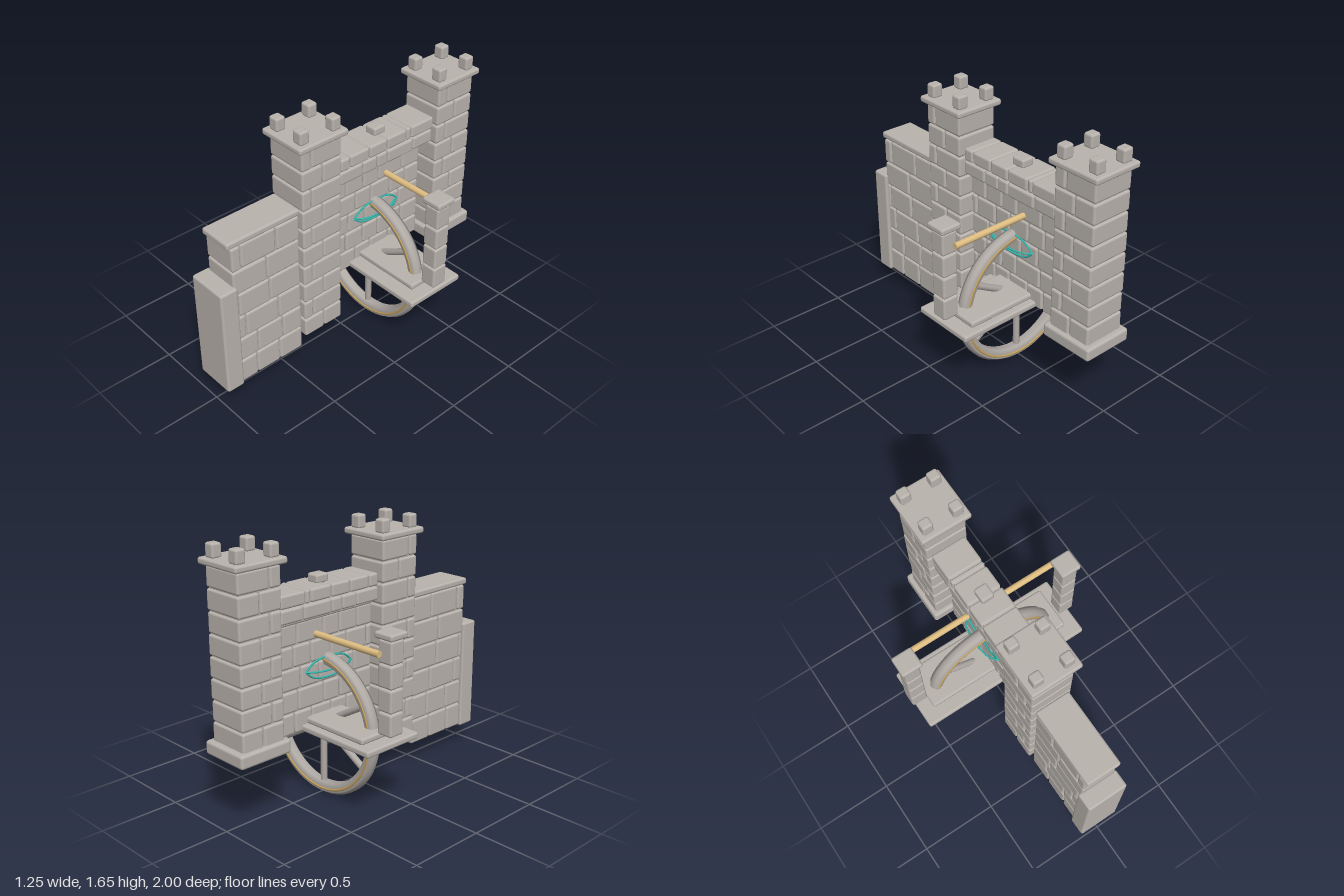
import * as THREE from 'three';
import { RoundedBoxGeometry } from 'three/addons/geometries/RoundedBoxGeometry.js';

const mat = (name, color) => {
  const m = new THREE.MeshStandardMaterial({ color });
  m.name = name;
  return m;
};

export function createModel() {
  const stone = mat('stone', 0xb9b3ad);
  const wheelGrey = mat('wheelGrey', 0xb0aaa5);
  const wood = mat('paleWood', 0xdfbe82);
  const brass = mat('brass', 0xc9a45c);
  const teal = mat('teal', 0x36b8ae);
  const model = new THREE.Group();
  model.name = 'wallWithWheel';

  let seed = 7;
  const rnd = () => (seed = (seed * 16807) % 2147483647) / 2147483647;

  const add = (parent, name, geo, material, x = 0, y = 0, z = 0) => {
    const m = new THREE.Mesh(geo, material);
    m.name = name;
    m.position.set(x, y, z);
    parent.add(m);
    return m;
  };
  const group = (name) => {
    const g = new THREE.Group();
    g.name = name;
    model.add(g);
    return g;
  };
  // Rounded stone block given by its limits
  const block = (parent, name, x0, x1, y0, y1, z0, z1, r = 0.014) => {
    const [w, h, d] = [x1 - x0, y1 - y0, z1 - z0];
    const radius = Math.min(r, Math.min(w, h, d) * 0.4);
    return add(parent, name, new RoundedBoxGeometry(w, h, d, 2, radius), stone,
      (x0 + x1) / 2, (y0 + y1) / 2, (z0 + z1) / 2);
  };

  // Courses of through-blocks on a recessed core; cuts run from the front end to the back end
  const masonry = (name, halfX, y0, y1, zFront, zBack, rows, patterns) => {
    const g = group(name);
    const h = (y1 - y0) / rows, len = zFront - zBack, gap = 0.003;
    add(g, 'mortarCore', new THREE.BoxGeometry(halfX * 2 - 0.03, y1 - y0 - 0.02, len - 0.03), stone,
      0, (y0 + y1) / 2, (zFront + zBack) / 2);
    for (let i = 0; i < rows; i++) {
      const cuts = [0, ...patterns[i % patterns.length], 1];
      const top = y1 - i * h;
      for (let k = 0; k + 1 < cuts.length; k++) {
        const hx = halfX - rnd() * 0.005;
        block(g, 'brick', -hx, hx, top - h + gap, top - gap,
          zFront - cuts[k + 1] * len + gap, zFront - cuts[k] * len - gap);
      }
    }
    return g;
  };

  // Front slab and stepped front wall
  block(model, 'frontSlab', -0.135, 0.135, 0.13, 0.855, 0.88, 1.0, 0.015);
  masonry('frontWall', 0.117, 0.13, 1.115, 0.9, 0.415, 6,
    [[0.14, 0.65], [0.5], [0.07, 0.53], [0.16, 0.65], [0.32, 0.7], [0.29, 0.64]]);
  block(model, 'frontWallCap', -0.115, 0.113, 1.112, 1.155, 0.41, 0.92);

  // Thin middle wall under wider upper courses
  masonry('middleWall', 0.045, 0.465, 1.14, 0.12, -0.625, 5,
    [[0.17, 0.36, 0.53, 0.8], [0.06, 0.28, 0.45, 0.66, 0.84], [0.2, 0.38, 0.58, 0.77]]);
  block(model, 'stringCourse', -0.048, 0.048, 1.13, 1.175, -0.625, 0.12);
  masonry('upperWall', 0.117, 1.165, 1.255, 0.105, -0.655, 1, [[0.24, 0.39, 0.5, 0.78]]);
  masonry('topCourse', 0.117, 1.255, 1.34, 0.1, -0.66, 1, [[0.1, 0.3, 0.49, 0.7, 0.75]]);
  block(model, 'wallMerlon', -0.042, 0.042, 1.33, 1.385, -0.325, -0.232);

  // Towers with cap slab and four merlons
  const tower = (name, y0, rows, zFront, zBack, patterns) => {
    const g = masonry(name, 0.14, y0, 1.53, zFront, zBack, rows, patterns);
    const zc = (zFront + zBack) / 2;
    block(g, 'towerCap', -0.165, 0.165, 1.53, 1.57, zc - 0.178, zc + 0.178);
    for (const sx of [-1, 1]) for (const sz of [-1, 1]) {
      const x = sx * 0.1, z = zc + sz * 0.115;
      block(g, 'merlon', x - 0.035, x + 0.035, 1.565, 1.65, z - 0.033, z + 0.033);
    }
    return g;
  };
  tower('frontTower', 0.215, 10, 0.41, 0.113, [[0.24], [0.52]]);
  const backTower = tower('backTower', 0.5, 8, -0.665, -0.967, [[0.27], [0.5]]);
  block(backTower, 'towerBase', -0.165, 0.165, 0.43, 0.515, -1.0, -0.642, 0.018);

  // Platform with side posts
  block(model, 'platform', -0.585, 0.585, 0.465, 0.507, -0.455, -0.04);
  block(model, 'platformStep', -0.5, 0.5, 0.505, 0.545, -0.415, -0.125);
  for (const s of [-1, 1]) {
    const g = group(s > 0 ? 'leftPost' : 'rightPost');
    const x = s * 0.555;
    for (let i = 0; i < 4; i++) {
      const y = 0.547 + i * 0.142;
      block(g, 'postBlock', x - 0.052, x + 0.052, y, y + 0.138, -0.3, -0.195);
    }
    block(g, 'postCap', x - 0.068, x + 0.068, 1.116, 1.157, -0.318, -0.183);
  }

  // Wooden rod across the wall
  add(model, 'rod', new THREE.CylinderGeometry(0.02, 0.02, 1.1, 10), wood, 0, 1.04, -0.335)
    .rotation.z = Math.PI / 2;

  // Wheel: ridged rim, inlaid rings, six spokes, hub
  const wheel = group('wheel');
  wheel.position.set(0, 0.455, -0.245);
  const rimProfile = [[0.382, -0.022], [0.395, -0.037], [0.437, -0.04], [0.444, -0.024], [0.455, -0.014],
    [0.455, 0.014], [0.444, 0.024], [0.437, 0.04], [0.395, 0.037], [0.382, 0.022], [0.382, -0.022]];
  add(wheel, 'rim', new THREE.LatheGeometry(rimProfile.map((p) => new THREE.Vector2(...p)), 72), wheelGrey)
    .rotation.x = Math.PI / 2;
  for (const s of [-1, 1])
    add(wheel, 'rimInlay', new THREE.TorusGeometry(0.42, 0.008, 6, 72), brass, 0, 0, s * 0.037);
  for (let i = 0; i < 6; i++) {
    const a = Math.PI / 6 + (i * Math.PI) / 3;
    add(wheel, 'spoke', new THREE.CylinderGeometry(0.021, 0.021, 0.36, 10), wheelGrey,
      Math.cos(a) * 0.22, Math.sin(a) * 0.22).rotation.z = a - Math.PI / 2;
  }
  add(wheel, 'hub', new THREE.CylinderGeometry(0.07, 0.07, 0.11, 20), brass).rotation.x = Math.PI / 2;
  add(wheel, 'axle', new THREE.CylinderGeometry(0.028, 0.028, 0.15, 14), teal).rotation.x = Math.PI / 2;

  // Teal wire tracery on both faces of the wall: an upright almond crossed by a level bow
  const wire = (parent, name, pts) => add(parent, name,
    new THREE.TubeGeometry(new THREE.CatmullRomCurve3(pts.map((p) => new THREE.Vector3(...p))), 24, 0.006, 6), teal);
  for (const s of [-1, 1]) {
    const g = group(s > 0 ? 'leftTracery' : 'rightTracery');
    g.position.set(s * 0.05, 0.825, -0.245);
    for (const t of [-1, 1])
      wire(g, 'uprightArc', [[0, 0, -0.18], [0, t * 0.045, -0.12], [0, t * 0.064, 0],
        [0, t * 0.045, 0.12], [0, 0, 0.18]]);
    wire(g, 'levelBow', [[0, 0, -0.18], [s * 0.04, 0, -0.12], [s * 0.056, 0, 0],
      [s * 0.04, 0, 0.12], [0, 0, 0.18]]);
  }
  return model;
}
